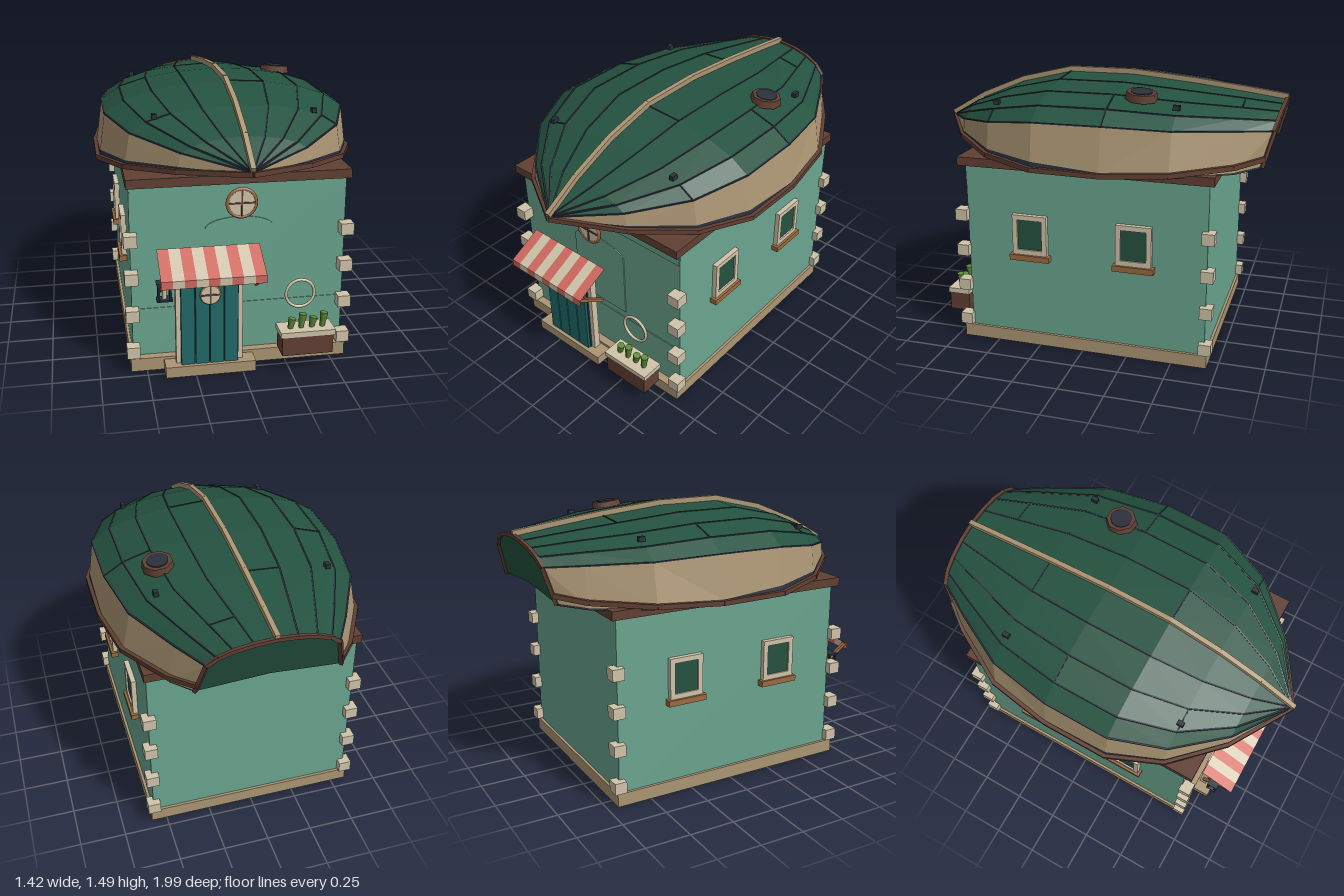
import * as THREE from 'three';

const mat = (name, color, side = THREE.FrontSide) => {
  const m = new THREE.MeshStandardMaterial({ color, side });
  m.name = name;
  return m;
};

export function createModel() {
  const model = new THREE.Group();
  model.name = 'boatRoofCottage';
  const wall = mat('wallGreen', 0x6aa58f);
  const tan = mat('tan', 0xac9674);
  const cream = mat('cream', 0xd0c4aa, THREE.DoubleSide);
  const brown = mat('darkBrown', 0x613f33);
  const wood = mat('wood', 0x9c6a40);
  const hullGreen = mat('hullGreen', 0x245240, THREE.DoubleSide);
  const navy = mat('navy', 0x2b313c);
  const teal = mat('doorTeal', 0x206a69);
  const red = mat('awningRed', 0xcf6a60, THREE.DoubleSide);
  const leaf = mat('leafGreen', 0x5f8c3a);

  const add = (name, geo, m, x = 0, y = 0, z = 0) => {
    const mesh = new THREE.Mesh(geo, m);
    mesh.name = name;
    mesh.position.set(x, y, z);
    model.add(mesh);
    return mesh;
  };
  // Box given by its extents on each axis
  const box = (name, m, x0, x1, y0, y1, z0, z1) =>
    add(name, new THREE.BoxGeometry(x1 - x0, y1 - y0, z1 - z0), m, (x0 + x1) / 2, (y0 + y1) / 2, (z0 + z1) / 2);
  // Square bar running between two points
  const bar = (name, m, a, b, w, h = w, extra = 0) => {
    const mesh = add(name, new THREE.BoxGeometry(w, h, a.distanceTo(b) + extra), m);
    mesh.position.copy(a).add(b).multiplyScalar(0.5);
    mesh.lookAt(b);
    return mesh;
  };
  const V = (x, y, z) => new THREE.Vector3(x, y, z);
  const buffer = (points) => {
    const g = new THREE.BufferGeometry().setFromPoints(points);
    g.computeVertexNormals();
    return g;
  };

  // House body
  box('walls', wall, -0.57, 0.57, 0, 1.03, -0.68, 0.66);
  box('plinth', tan, -0.585, 0.585, 0.002, 0.075, -0.695, 0.705);
  box('cornice', brown, -0.585, 0.585, 1.02, 1.068, -0.705, 0.705);
  box('wallBand', wall, -0.565, 0.565, 0.275, 0.345, 0.655, 0.664);
  box('upperWallBand', wall, -0.565, 0.565, 0.94, 1.02, 0.655, 0.664);
  const arch = new THREE.Shape();
  arch.moveTo(-0.18, 0.39);
  arch.lineTo(0.18, 0.39);
  arch.lineTo(0.18, 0.77);
  arch.absellipse(0, 0.77, 0.18, 0.06, 0, Math.PI);
  add('archPanel', new THREE.ExtrudeGeometry(arch, { depth: 0.008, bevelEnabled: false }), wall, 0, 0, 0.658);

  // Corner stones and side windows
  for (const s of [-1, 1]) {
    for (const z of [0.687, -0.685])
      for (const y of [0.117, 0.327, 0.535, 0.742])
        add('cornerStone', new THREE.BoxGeometry(0.07, 0.064, 0.068), cream, s * 0.57, y, z);
    for (const z of [0.292, -0.29]) {
      add('windowFrameTop', new THREE.BoxGeometry(0.03, 0.028, 0.195), cream, s * 0.582, 0.758, z);
      add('windowFrameBottom', new THREE.BoxGeometry(0.03, 0.028, 0.195), cream, s * 0.582, 0.56, z);
      for (const t of [-1, 1])
        add('windowFrameSide', new THREE.BoxGeometry(0.03, 0.2, 0.028), cream, s * 0.582, 0.66, z + t * 0.0835);
      add('windowGlass', new THREE.BoxGeometry(0.02, 0.18, 0.145), hullGreen, s * 0.578, 0.66, z);
      add('windowSill', new THREE.BoxGeometry(0.045, 0.032, 0.225), wood, s * 0.588, 0.53, z);
    }
  }

  // Round windows with crossed bars
  const porthole = (x, y, z, r) => {
    add('portholeRing', new THREE.TorusGeometry(r * 0.9, r * 0.12, 6, 24), wood, x, y, z);
    const disc = add('portholePane', new THREE.CylinderGeometry(r * 0.88, r * 0.88, 0.012, 24), cream, x, y, z);
    disc.rotation.x = Math.PI / 2;
    add('portholeBar', new THREE.BoxGeometry(r * 1.7, 0.009, 0.02), brown, x, y, z);
    add('portholeBar', new THREE.BoxGeometry(0.009, r * 1.7, 0.02), brown, x, y, z);
  };
  porthole(0, 0.925, 0.727, 0.083);
  porthole(-0.172, 0.455, 0.784, 0.055);

  // Door, frame and step
  box('step', tan, -0.41, 0.07, 0, 0.06, 0.7, 0.8);
  box('doorBacking', navy, -0.325, -0.02, 0.06, 0.63, 0.735, 0.765);
  for (let i = 0; i < 4; i++) {
    const x = -0.325 + i * 0.0765;
    box('doorPlank', teal, x, x + 0.071, 0.06, 0.635, 0.745, 0.78);
  }
  box('doorFrameSide', cream, -0.35, -0.325, 0.06, 0.65, 0.715, 0.755);
  box('doorFrameSide', cream, -0.02, 0.005, 0.06, 0.65, 0.715, 0.755);
  box('doorFrameTop', cream, -0.35, 0.005, 0.625, 0.65, 0.715, 0.755);

  // Striped awning with valance and struts
  const profile = [[0.7, 0.725], [0.602, 0.918], [0.56, 0.918]];
  for (let i = 0; i < 9; i++) {
    const w = 0.535 / 9, g = new THREE.PlaneGeometry(w, 1, 1, 2), p = g.attributes.position;
    for (let k = 0; k < p.count; k++) {
      const [y, z] = profile[Math.floor(k / 2)];
      p.setXYZ(k, p.getX(k), y, z);
    }
    const flat = g.toNonIndexed();
    flat.computeVertexNormals();
    add('awningStripe', flat, i % 2 ? cream : red, -0.44 + (i + 0.5) * w, 0, 0);
  }
  for (const x of [-0.42, 0.077])
    bar('awningStrut', wood, V(x, 0.478, 0.74), V(x, 0.595, 0.91), 0.018);

  // Hanging lantern
  const lx = -0.412, lz = 0.805;
  for (const y of [0.459, 0.55])
    add('lanternPlate', new THREE.BoxGeometry(0.082, 0.009, 0.06), navy, lx, y, lz);
  for (const a of [-1, 1])
    for (const b of [-1, 1])
      add('lanternPost', new THREE.BoxGeometry(0.01, 0.09, 0.01), navy, lx + a * 0.03, 0.505, lz + b * 0.02);
  add('lanternLight', new THREE.CylinderGeometry(0.012, 0.012, 0.05, 8), cream, lx, 0.487, lz);
  add('lanternCap', new THREE.CylinderGeometry(0.012, 0.02, 0.03, 8), brown, lx, 0.533, lz);

  // Life ring
  add('lifeRing', new THREE.TorusGeometry(0.077, 0.0085, 8, 28), cream, 0.318, 0.404, 0.737);

  // Planter
  box('planter', brown, 0.2, 0.475, 0.1, 0.206, 0.73, 0.85);
  box('planterRim', cream, 0.19, 0.485, 0.206, 0.235, 0.725, 0.855);
  for (let i = 0; i < 4; i++) {
    const h = i % 2 ? 0.085 : 0.062;
    const plant = add('plant', new THREE.CylinderGeometry(0.022, 0.013, h, 6), leaf, 0.257 + i * 0.058, 0.228 + h / 2, 0.797);
    plant.rotation.z = i % 2 ? -0.12 : -0.2;
  }

  // Upturned hull: z, chine half width, sheer half width, ridge y, chine y, sheer y
  const stations = [
    [-0.985, 0.335, 0.37, 1.37, 1.265, 1.115], [-0.78, 0.44, 0.475, 1.397, 1.275, 1.087],
    [-0.48, 0.595, 0.64, 1.432, 1.29, 1.065], [-0.13, 0.655, 0.692, 1.463, 1.306, 1.05],
    [0.24, 0.655, 0.692, 1.461, 1.303, 1.054], [0.53, 0.545, 0.575, 1.39, 1.262, 1.08],
    [0.78, 0.315, 0.335, 1.285, 1.214, 1.112], [0.985, 0, 0, 1.165, 1.16, 1.14]];
  const section = [[0, 0], [0.32, 0.08], [0.61, 0.27], [0.84, 0.57], [1, 1]];
  const P = (i, j, s, inner = 0) => {
    const [z, c, w, ky, cy, sy] = stations[i];
    const f = j === 5 ? Math.max(0.7 - 0.1 * (i - 5), 0.78 - 0.12 * Math.max(0, i - 5)) : 1;
    let x, y;
    if (j < 5) { x = c * section[j][0]; y = ky + (cy - ky) * section[j][1]; }
    else { x = c + (w - c) * f; y = cy + (sy - cy) * f; }
    const rake = i === 0 ? 0.27 * (ky - y) : 0;
    return V(s * x * (1 - 0.02 * inner), y - 0.01 * inner, z + rake);
  };
  const shell = (name, m, j0, j1, inner = 0) => {
    const pts = [];
    for (const s of [-1, 1])
      for (let i = 0; i < stations.length - 1; i++)
        for (let j = j0; j < j1; j++) {
          const q = [[i, j], [i + 1, j], [i + 1, j + 1], [i, j + 1]].map(([u, v]) => P(u, v, s, inner));
          const out = (s > 0) !== (inner > 0);
          for (const k of out ? [0, 1, 2, 0, 2, 3] : [0, 2, 1, 0, 3, 2]) pts.push(q[k]);
        }
    add(name, buffer(pts), m);
  };
  shell('hullPlanking', hullGreen, 0, 4);
  shell('hullSideBand', tan, 4, 5);
  shell('hullDarkBand', navy, 5, 6);
  shell('hullLining', navy, 0, 6, 1);

  // Transom closing the stern, with a rim
  const fan = [], foot = V(0, P(0, 6, 1).y, P(0, 6, 1).z);
  for (const s of [-1, 1])
    for (let j = 0; j < 6; j++) {
      const a = P(0, j, s), b = P(0, j + 1, s);
      fan.push(foot, ...(s > 0 ? [a, b] : [b, a]));
      bar('transomRim', brown, a, b, 0.02, 0.02, 0.008);
    }
  add('transom', buffer(fan), hullGreen);

  // Keel, gunwales and plank seams
  for (let i = 0; i < stations.length - 1; i++) {
    const up = V(0, 0.01, 0);
    bar('keel', tan, P(i, 0, 1).add(up), P(i + 1, 0, 1).add(up), 0.026, 0.036, 0.012);
    for (const s of [-1, 1]) {
      const lift = V(s * 0.004, 0.012, 0);
      bar('gunwale', brown, P(i, 6, s).add(lift), P(i + 1, 6, s).add(lift), 0.026, 0.026, 0.012);
      for (let j = 1; j < 5; j++)
        bar('plankSeam', navy, P(i, j, s), P(i + 1, j, s), 0.008, 0.007);
    }
  }
  // Plank end joints: station, row, side
  for (const [i, j, s] of [[2, 0, -1], [1, 1, 1], [3, 2, -1], [3, 2, 1], [3, 3, 1], [4, 0, 1], [5, 2, -1], [5, 3, 1]])
    bar('plankJoint', navy, P(i, j, s), P(i, j + 1, s), 0.007);

  // Small cleats and the round roof hatch
  for (const s of [-1, 1]) {
    add('cleat', new THREE.BoxGeometry(0.025, 0.025, 0.036), navy, s * 0.455, 1.383, -0.475);
    add('cleat', new THREE.BoxGeometry(0.025, 0.025, 0.036), navy, s * 0.417, 1.345, 0.53);
  }
  const hatch = add('hatchRim', new THREE.CylinderGeometry(0.08, 0.087, 0.04, 8), brown, 0.395, 1.423, -0.275);
  const lid = add('hatchLid', new THREE.CylinderGeometry(0.058, 0.058, 0.044, 12), navy, 0.395, 1.426, -0.275);
  hatch.rotation.set(-0.06, Math.PI / 8, -0.1);
  lid.rotation.set(-0.06, 0, -0.1);
  return model;
}
